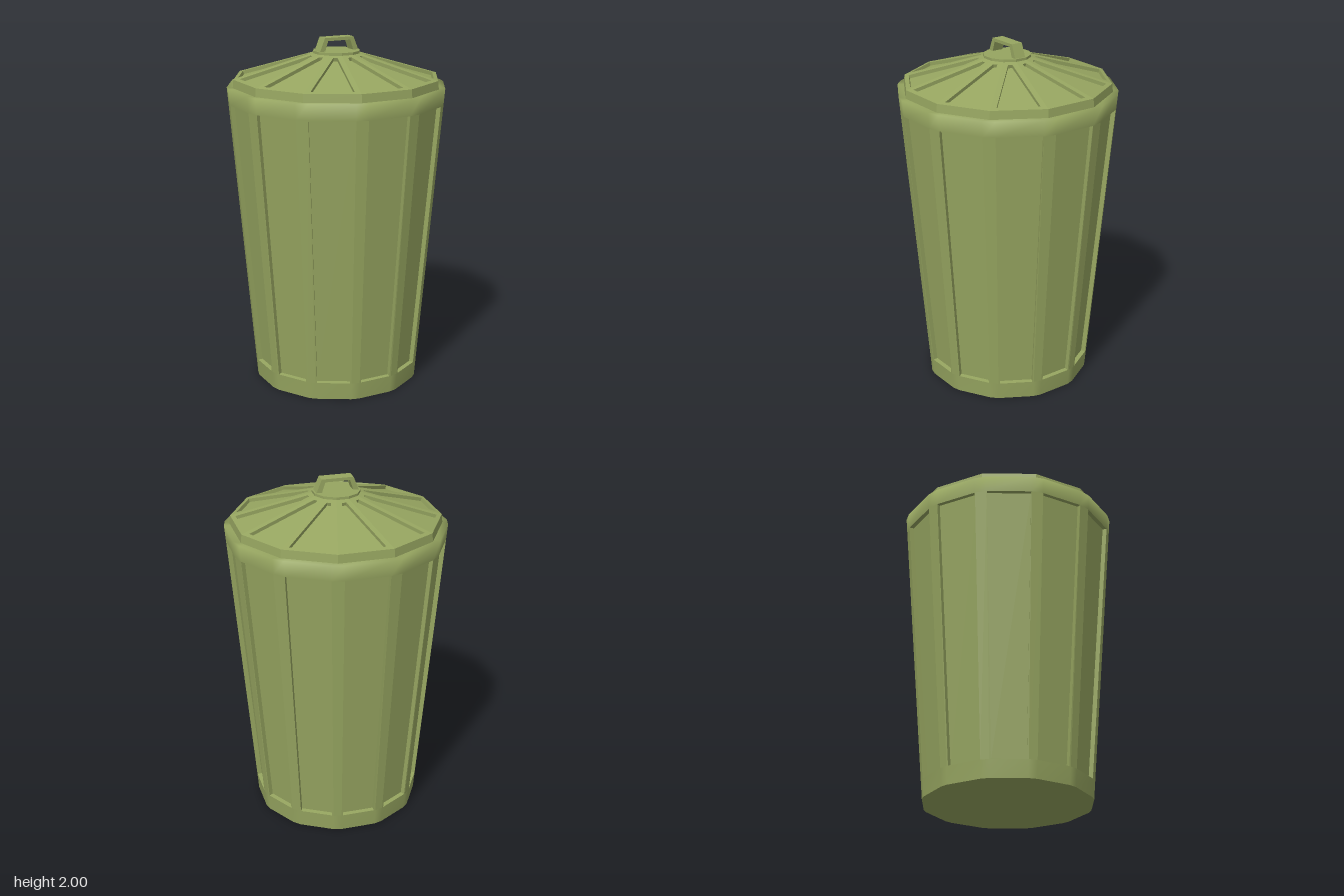
import * as THREE from 'three';
import { mergeVertices } from 'three/addons/utils/BufferGeometryUtils.js';

const SIDES = 12;
const HALF = Math.PI / SIDES;

// Left and right end of one side of a 12-sided ring, pulled in from the corners by inset
function side(k, radius, y, inset = 0) {
  const m = (2 * k + 1) * HALF;
  const a = radius * Math.cos(HALF);
  const s = radius * Math.sin(HALF) - inset;
  const at = (t) => new THREE.Vector3(
    Math.sin(m) * a + Math.cos(m) * t, y, Math.cos(m) * a - Math.sin(m) * t);
  return [at(-s), at(s)];
}

function quad(out, a, b, c, d) {
  for (const p of [a, b, c, a, c, d]) out.push(p.x, p.y, p.z);
}

function toGeometry(coords, smooth = false) {
  let g = new THREE.BufferGeometry();
  g.setAttribute('position', new THREE.Float32BufferAttribute(coords, 3));
  if (smooth) g = mergeVertices(g, 1e-4);
  g.computeVertexNormals();
  return g;
}

// Closed band through rings given as [radius, y, corner inset]
function band(rings, smooth) {
  const out = [];
  for (let i = 0; i + 1 < rings.length; i++) {
    for (let k = 0; k < SIDES; k++) {
      const [bl, br] = side(k, ...rings[i]);
      const [tl, tr] = side(k, ...rings[i + 1]);
      quad(out, bl, br, tr, tl);
      if (rings[i][2] || rings[i + 1][2]) {
        quad(out, br, side(k + 1, ...rings[i])[0], side(k + 1, ...rings[i + 1])[0], tr);
      }
    }
  }
  return toGeometry(out, smooth);
}

// Ribbed wall between two rings, each side holding a sunken panel
function panelledWall(low, high, panelLow, panelHigh, depth) {
  const frame = [], floors = [];
  const corners = (k, lo, hi) => {
    const [bl, br] = side(k, ...lo), [tl, tr] = side(k, ...hi);
    return [bl, br, tr, tl];
  };
  for (let k = 0; k < SIDES; k++) {
    const P = corners(k, low, high);
    const Q = corners(k, panelLow, panelHigh);
    const normal = P[1].clone().sub(P[0]).cross(P[3].clone().sub(P[0])).normalize();
    const F = Q.map((q) => q.clone().addScaledVector(normal, -depth));
    for (let i = 0; i < 4; i++) {
      const j = (i + 1) % 4;
      quad(frame, P[i], P[j], Q[j], Q[i]);
      quad(frame, Q[i], Q[j], F[j], F[i]);
    }
    quad(floors, ...F);
    // Chamfered face down the middle of the rib
    if (low[2]) {
      const N = corners(k + 1, low, high);
      quad(frame, P[1], N[0], N[3], P[2]);
    }
  }
  return [toGeometry(frame), toGeometry(floors)];
}

export function createModel() {
  const group = new THREE.Group();
  group.name = 'dustbin';
  const green = new THREE.MeshStandardMaterial({ color: 0x96a560 });
  green.name = 'olive green';
  const add = (name, geometry) => {
    const mesh = new THREE.Mesh(geometry, green);
    mesh.name = name;
    group.add(mesh);
    return mesh;
  };

  // Tapered body: ring description at any height
  const BODY_TOP = 1.73;
  const bodyRing = (y, inset) => {
    const t = y / BODY_TOP;
    return [0.483 + 0.148 * t, y, inset ?? 0.024 + 0.012 * t];
  };
  const bottom = bodyRing(0), low = bodyRing(0.1), high = bodyRing(1.64), top = bodyRing(BODY_TOP);
  add('baseBand', band([bottom, low], true));
  add('bottomPlate', band([[0.0001, 0, 0], bottom]));
  const [ribs, panels] = panelledWall(low, high, bodyRing(0.101, 0.034), bodyRing(1.639, 0.037), 0.026);
  add('bodyRibs', ribs);
  add('bodyPanels', panels);
  add('bodyRim', band([high, top, [0.56, BODY_TOP, 0.03]], true));

  // Lid: upright edge and shallow ribbed cone
  const lidRing = (r, inset) => [r, 1.777 + (0.588 - r) * 0.295, inset];
  add('lidEdge', band([[0.593, 1.73, 0], lidRing(0.588, 0)]));
  const [lidRibs, lidPanels] = panelledWall(
    lidRing(0.588, 0), lidRing(0.11, 0), lidRing(0.564, 0.031), lidRing(0.165, 0.031), 0.02);
  add('lidRibs', lidRibs);
  add('lidPanels', lidPanels);

  // Cap plate on top of the lid
  const cap = new THREE.CylinderGeometry(0.135, 0.135, 0.016, SIDES).toNonIndexed();
  cap.computeVertexNormals();
  add('lidCap', cap).position.y = 1.917;

  // Arched handle, turned to lie along one side of the lid
  const arch = new THREE.Shape([
    [-0.122, 0], [-0.09, 0.078], [0.09, 0.078], [0.122, 0],
    [0.09, 0], [0.07, 0.06], [-0.07, 0.06], [-0.09, 0],
  ].map(([x, y]) => new THREE.Vector2(x, y)));
  const handleGeometry = new THREE.ExtrudeGeometry(arch, { depth: 0.068, bevelEnabled: false });
  handleGeometry.translate(0, 0, -0.034);
  const handle = add('handle', handleGeometry);
  handle.position.y = 1.922;
  handle.rotation.y = -HALF;

  return group;
}
